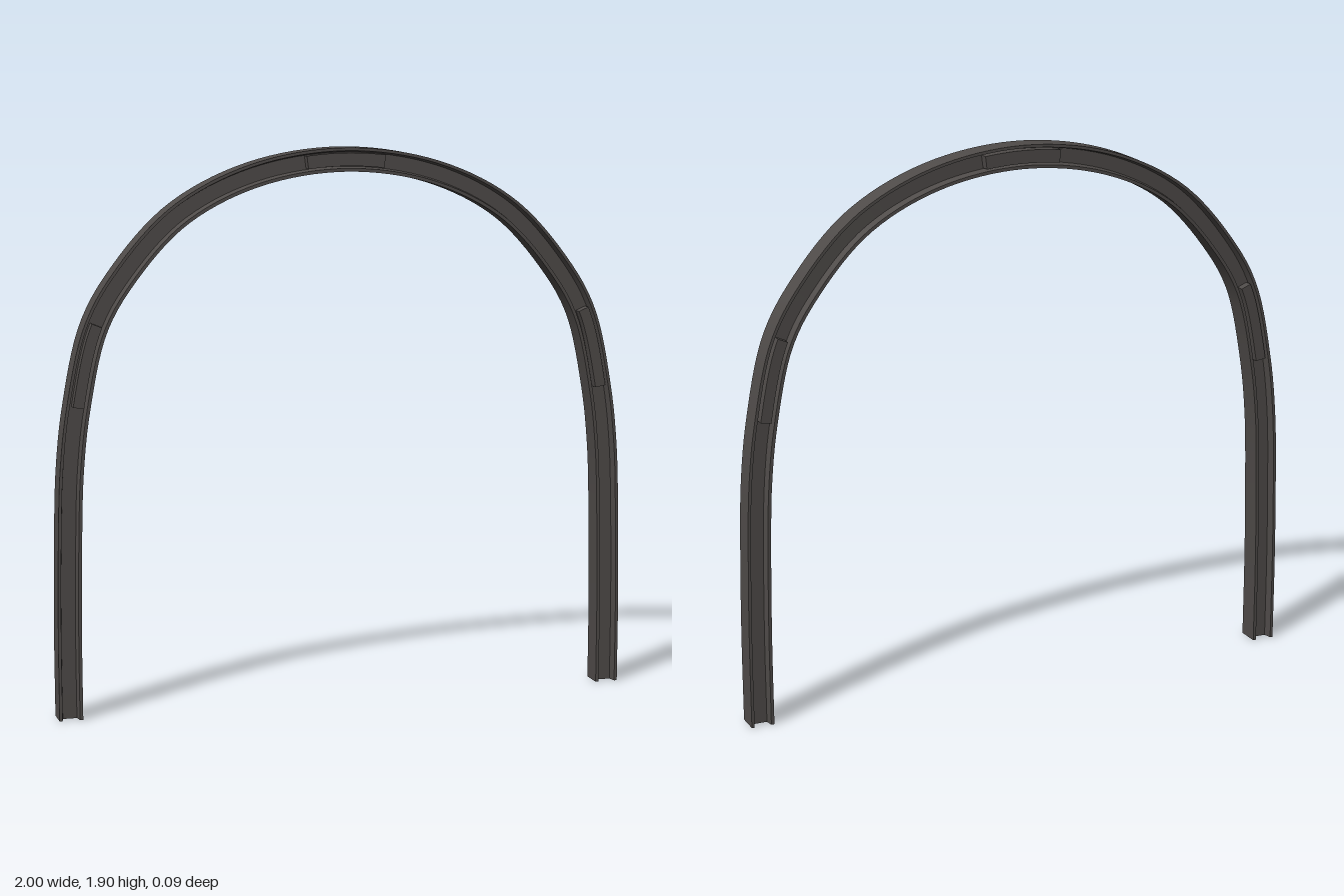
import * as THREE from 'three';

const steel = new THREE.MeshStandardMaterial({ color: 0x4f4b49 });
steel.name = 'dark steel';

// Outer edge of the arch, from the +x foot over the crown to the -x foot
const half = [[1, 0], [1, 0.3], [0.995, 0.6], [0.985, 0.85], [0.96, 1.06],
  [0.897, 1.33], [0.8, 1.5], [0.6, 1.715], [0.33, 1.85]];
const points = [...half, [0, 1.9], ...half.map(([x, y]) => [-x, y]).reverse()];
const path = new THREE.CatmullRomCurve3(points.map(([x, y]) => new THREE.Vector3(x, y, 0)));
path.arcLengthDivisions = 800;

// Sweep a closed section of [depth inward, z] corners along part of the arch
function sweep(section, u0, u1, steps) {
  const pos = [], index = [], n = section.length;
  const rings = [];
  for (let i = 0; i <= steps; i++) {
    const u = u0 + (u1 - u0) * i / steps;
    const p = path.getPointAt(u), t = path.getTangentAt(u);
    if (u < 1e-6 || u > 1 - 1e-6) t.set(0, u < 0.5 ? 1 : -1, 0);
    rings.push(section.map(([d, z]) => [p.x - t.y * d, p.y + t.x * d, z]));
  }
  // each side strip has its own vertices, so it is smooth only along the arch
  for (let k = 0; k < n; k++) {
    const base = pos.length / 3;
    for (const r of rings) pos.push(...r[k], ...r[(k + 1) % n]);
    for (let i = 0; i < steps; i++) {
      const a = base + i * 2;
      index.push(a, a + 1, a + 3, a, a + 3, a + 2);
    }
  }
  // end caps
  const faces = THREE.ShapeUtils.triangulateShape(section.map(([d, z]) => new THREE.Vector2(d, z)), []);
  [rings[0], rings[steps]].forEach((ring, end) => {
    const base = pos.length / 3;
    ring.forEach((v) => pos.push(...v));
    for (const [a, b, c] of faces) {
      index.push(...(end ? [a, b, c] : [a, c, b]).map((v) => base + v));
    }
  });
  const g = new THREE.BufferGeometry();
  g.setAttribute('position', new THREE.Float32BufferAttribute(pos, 3));
  g.setIndex(index);
  g.computeVertexNormals();
  return g;
}

// Position along the +x side at a given height
function atHeight(y) {
  let a = 0, b = 0.5;
  for (let i = 0; i < 40; i++) {
    const m = (a + b) / 2;
    if (path.getPointAt(m).y < y) a = m; else b = m;
  }
  return a;
}

export function createModel() {
  const model = new THREE.Group();
  model.name = 'archSupport';
  const add = (name, geometry) => {
    const mesh = new THREE.Mesh(geometry, steel);
    mesh.name = name;
    model.add(mesh);
  };

  // I-beam: outer flange, web, inner flange
  const W = 0.04, web = 0.01;
  const beam = [[0, -W], [0.01, -W], [0.016, -web], [0.064, -web], [0.069, -W], [0.08, -W],
    [0.08, W], [0.069, W], [0.064, web], [0.016, web], [0.01, W], [0, W]];
  add('archBeam', sweep(beam, 0, 1, 120));

  // Joint plates seated between the flanges, on both faces
  const plate = (name, d0, d1, z0, z1, u0, u1) =>
    add(name, sweep([[d0, z0], [d1, z0], [d1, z1], [d0, z1]], u0, u1, 12));
  const crown = 0.14 / path.getLength();
  const low = atHeight(1.065), high = atHeight(1.345);
  const joints = [
    ['crown', 0.5 - crown, 0.5 + crown, 0.017, 0.061, 0.043],
    ['left', low, high, 0.021, 0.058, 0.04],
    ['right', 1 - high, 1 - low, 0.021, 0.058, 0.04],
  ];
  for (const [side, u0, u1, d0, d1, back] of joints) {
    plate(side + 'FrontPlate', d0, d1, web, 0.043, u0, u1);
    plate(side + 'BackPlate', d0, d1, -back, -web, u0, u1);
  }
  return model;
}
